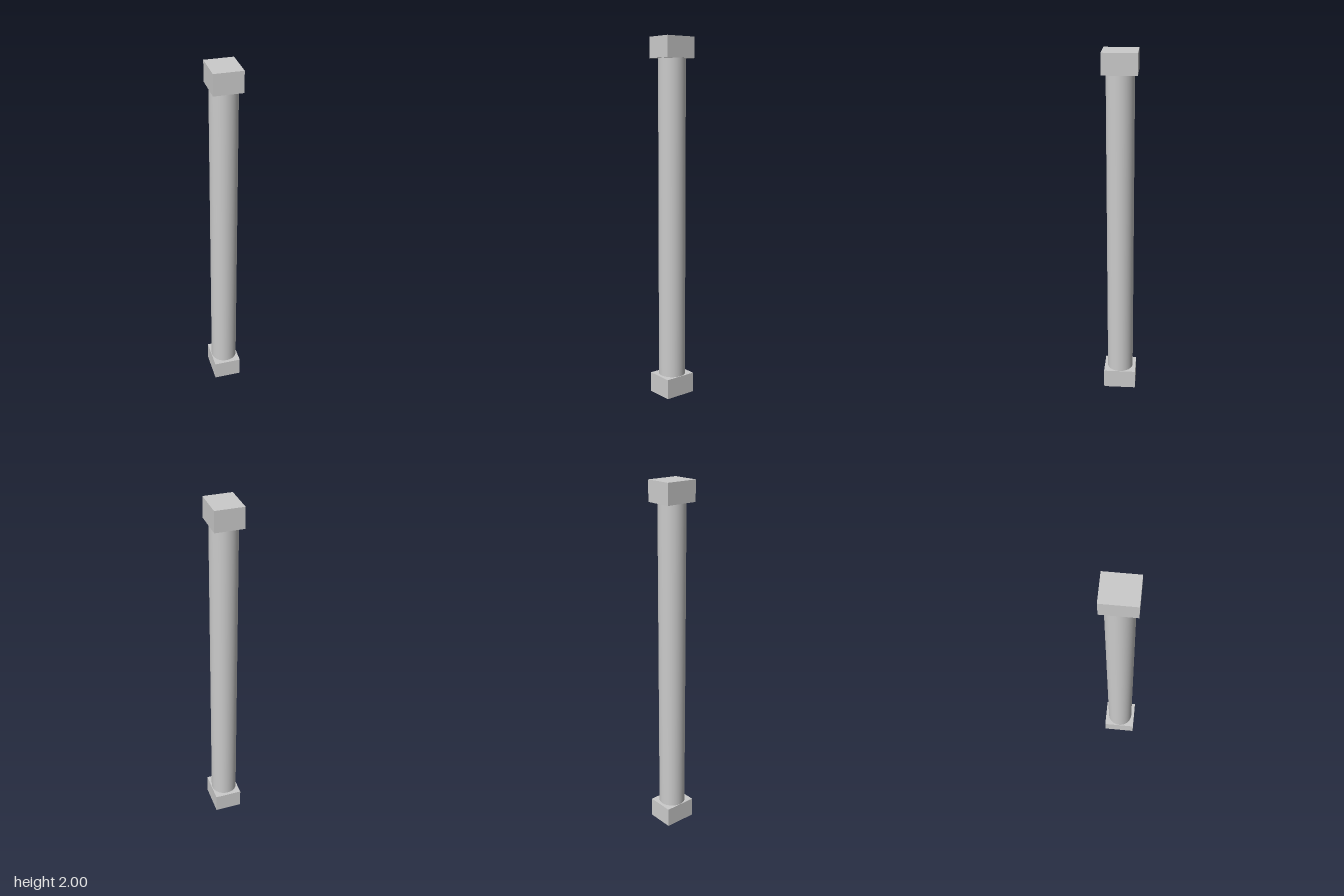
import * as THREE from 'three';

export function createModel() {
  const group = new THREE.Group();
  const material = new THREE.MeshStandardMaterial({ color: 0xcccccc });
  const height = 2, blockHeight = 0.113;

  const add = (name, geometry, y) => {
    const mesh = new THREE.Mesh(geometry, material);
    mesh.name = name;
    mesh.position.y = y;
    group.add(mesh);
  };

  // Rectangular blocks at both ends
  const block = new THREE.BoxGeometry(0.156, blockHeight, 0.185);
  add('base', block, blockHeight / 2);
  add('capital', block, height - blockHeight / 2);

  // Smooth round shaft between them
  add('shaft', new THREE.CylinderGeometry(0.075, 0.075, height - 2 * blockHeight, 48), height / 2);

  return group;
}
